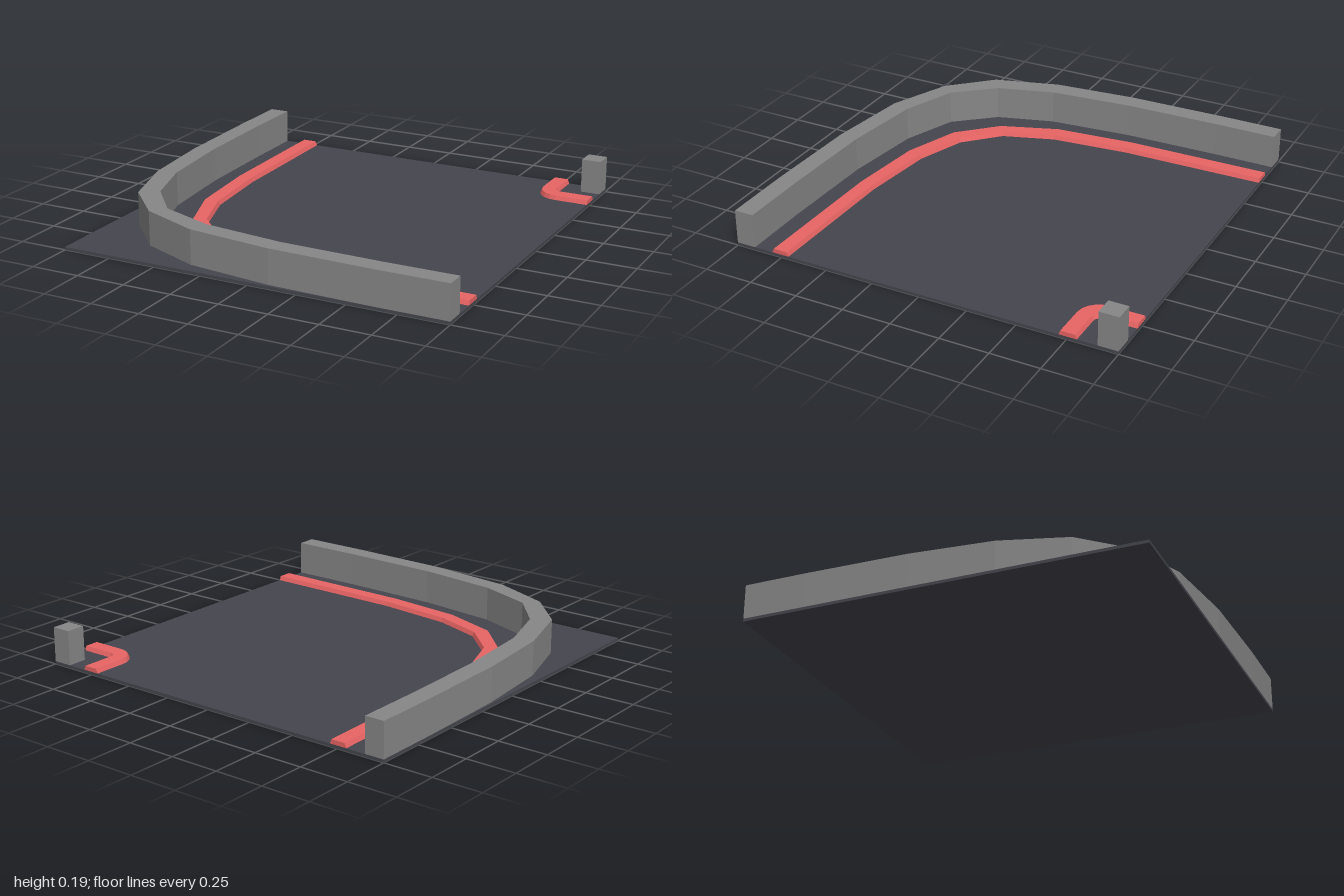
import * as THREE from 'three';

const BASE = 0.015; // top of the ground slab

const material = (color) => new THREE.MeshStandardMaterial({ color, flatShading: true });

// Sweeps a four-sided section along paired outer and inner edges given as [x, z].
// The bevel is the share of the width by which each top edge steps in.
function strip(name, outer, inner, top, bevel, mat) {
  const rings = outer.map(([ox, oz], i) => {
    const [ix, iz] = inner[i];
    const at = (t, y) => [ox + (ix - ox) * t, y, oz + (iz - oz) * t];
    return [at(0, BASE), at(bevel, top), at(1 - bevel, top), at(1, BASE)];
  });
  const pos = [];
  const quad = (a, b, c, d) => pos.push(...a, ...b, ...c, ...a, ...c, ...d);
  for (let i = 0; i < rings.length - 1; i++) {
    const r = rings[i], s = rings[i + 1];
    for (let k = 0; k < 4; k++) {
      const n = (k + 1) % 4;
      quad(r[k], s[k], s[n], r[n]);
    }
  }
  quad(...rings[0]);
  quad(...rings[rings.length - 1].slice().reverse());
  const geo = new THREE.BufferGeometry();
  geo.setAttribute('position', new THREE.Float32BufferAttribute(pos, 3));
  geo.computeVertexNormals();
  const mesh = new THREE.Mesh(geo, mat);
  mesh.name = name;
  return mesh;
}

function box(name, w, h, d, x, y, z, mat) {
  const mesh = new THREE.Mesh(new THREE.BoxGeometry(w, h, d), mat);
  mesh.position.set(x, y, z);
  mesh.name = name;
  return mesh;
}

// A quarter bend: straight from the back edge, round a corner, straight to the right edge.
function bend(edge, radius, steps) {
  const pts = [[edge, -1]];
  for (let i = 0; i <= steps; i++) {
    const a = (i / steps) * Math.PI / 2;
    pts.push([edge + radius * (1 - Math.cos(a)), -edge - radius * (1 - Math.sin(a))]);
  }
  pts.push([1, -edge]);
  return pts;
}

export function createModel() {
  const group = new THREE.Group();
  group.name = 'trackCorner';
  const asphalt = material(0x45454e);
  const concrete = material(0x868686);
  const red = material(0xe86464);

  // Ground slab
  group.add(box('ground', 2, BASE, 2, 0, BASE / 2, 0, asphalt));

  // Tall barrier round the outside of the corner
  group.add(strip('outerWall',
    [[-1, -1], [-1, -0.68], [-0.99, -0.16], [-0.95, 0.26], [-0.85, 0.59],
      [-0.65, 0.8], [-0.34, 0.93], [0.1, 0.985], [0.63, 1], [1, 1]],
    [[-0.9, -1], [-0.9, -0.68], [-0.89, -0.19], [-0.85, 0.24], [-0.76, 0.53],
      [-0.59, 0.73], [-0.31, 0.835], [0.11, 0.887], [0.63, 0.9], [1, 0.9]],
    0.19, 0, concrete));

  // Low bevelled kerb following the barrier
  group.add(strip('outerKerb',
    [[-0.8, -1], [-0.79, -0.26], [-0.75, 0.155], [-0.64, 0.45],
      [-0.455, 0.64], [-0.16, 0.745], [0.245, 0.788], [1, 0.8]],
    [[-0.71, -1], [-0.7, -0.26], [-0.66, 0.14], [-0.57, 0.4],
      [-0.4, 0.565], [-0.145, 0.655], [0.25, 0.7], [1, 0.71]],
    0.037, 0.1, red));

  // Short kerb and barrier post at the inside of the corner
  group.add(strip('innerKerb', bend(0.71, 0.12, 5), bend(0.8, 0.03, 5), 0.037, 0.1, red));
  group.add(box('innerPost', 0.1, 0.19 - BASE, 0.1, 0.95, (0.19 + BASE) / 2, -0.95, concrete));

  return group;
}
